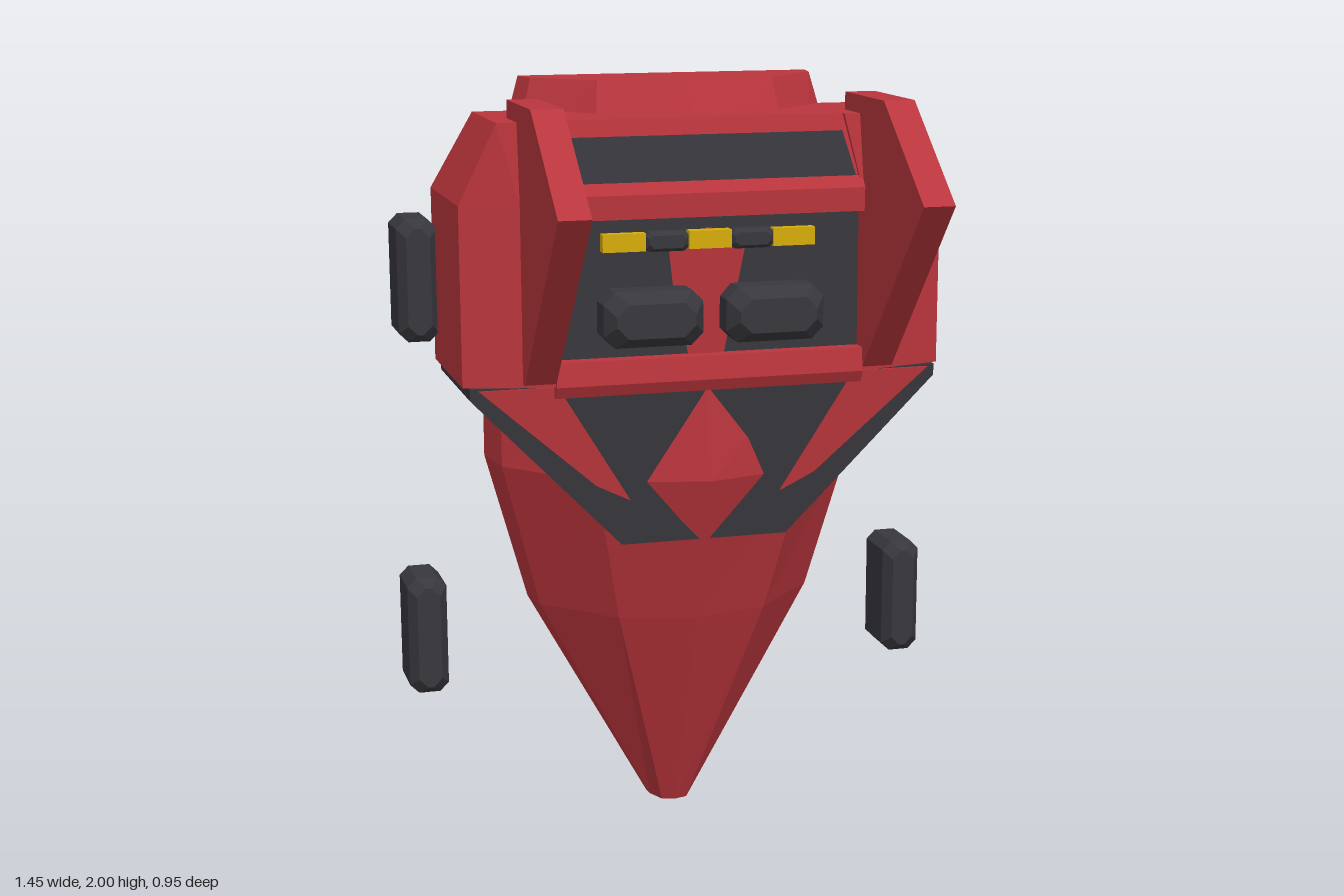
import * as THREE from 'three';

const mat = (name, color, extra = {}) =>
  Object.assign(new THREE.MeshStandardMaterial({ color, flatShading: true, ...extra }), { name });

// Closed solid through rings of equal point count, wound outward by its signed volume
function loft(rings) {
  const tris = [];
  const n = rings[0].length;
  for (let r = 0; r + 1 < rings.length; r++) {
    for (let i = 0; i < n; i++) {
      const j = (i + 1) % n;
      const [a, b, c, d] = [rings[r][i], rings[r][j], rings[r + 1][j], rings[r + 1][i]];
      tris.push([a, b, c], [a, c, d]);
    }
  }
  const last = rings[rings.length - 1];
  for (let i = 1; i + 1 < n; i++) {
    tris.push([rings[0][0], rings[0][i + 1], rings[0][i]], [last[0], last[i], last[i + 1]]);
  }
  let volume = 0;
  for (const [a, b, c] of tris) {
    volume += a[0] * (b[1] * c[2] - b[2] * c[1]) + a[1] * (b[2] * c[0] - b[0] * c[2]) + a[2] * (b[0] * c[1] - b[1] * c[0]);
  }
  if (volume < 0) tris.forEach((t) => t.reverse());
  const g = new THREE.BufferGeometry();
  g.setAttribute('position', new THREE.Float32BufferAttribute(tris.flat(2), 3));
  g.computeVertexNormals();
  return g;
}

// Side profile of [z, y] points swept from x0 to x1
const sweepX = (profile, x0, x1) => loft([x0, x1].map((x) => profile.map(([z, y]) => [x, y, z])));

// Octagonal block running along z, with its front edge bevelled
function bevelBlock(x0, x1, y0, y1, back, front, c) {
  const ring = (inset, z) => {
    const [l, r, b, t] = [x0 + inset, x1 - inset, y0 + inset, y1 - inset];
    return [[l + c, b, z], [r - c, b, z], [r, b + c, z], [r, t - c, z],
      [r - c, t, z], [l + c, t, z], [l, t - c, z], [l, b + c, z]];
  };
  return loft([ring(0, back), ring(0, front - c * 1.2), ring(c * 0.9, front)]);
}

// Flat polygon of [x, y] points, from z0 to z1, leaning forward with height
function leaningPlate(points, z0, z1, leanBack = true) {
  const g = new THREE.ExtrudeGeometry(new THREE.Shape(points.map((p) => new THREE.Vector2(...p))),
    { depth: z1 - z0, bevelEnabled: false });
  g.translate(0, 0, z0);
  const p = g.attributes.position;
  for (let i = 0; i < p.count; i++) {
    if (leanBack || p.getZ(i) > z0 + 0.001) p.setZ(i, p.getZ(i) + (p.getY(i) - 0.835) * 0.08);
  }
  g.computeVertexNormals();
  return g;
}

export function createModel() {
  const model = new THREE.Group();
  model.name = 'armourShell';
  const red = mat('red', 0xb9353c);
  const dark = mat('charcoal', 0x37373d);
  const yellow = mat('yellow', 0xd6ac0c);
  const add = (name, geometry, material) => {
    const m = new THREE.Mesh(geometry, material);
    m.name = name;
    model.add(m);
  };

  // Tapered hull: y, half width, side z, shoulder x, shoulder z, front z
  const hull = [
    [0, 0.06, -0.36, 0.035, -0.31, -0.3],
    [0.6, 0.39, -0.3, 0.2, -0.12, -0.07],
    [1.0, 0.5, -0.25, 0.28, -0.02, 0.055],
    [1.25, 0.5, -0.25, 0.28, -0.03, 0.032],
    [1.6, 0.5, -0.25, 0.28, -0.02, 0.05],
    [2.0, 0.39, -0.31, 0.23, -0.18, -0.158],
  ].map(([y, w, sz, mx, mz, fz]) => [
    [-w, y, -0.392], [-w * 0.96, y, sz], [-mx, y, mz], [0, y, fz],
    [mx, y, mz], [w * 0.96, y, sz], [w, y, -0.392]]);
  add('hull', loft(hull), red);

  // Head core with a recessed face and sloping brow
  add('headCore', sweepX([[-0.387, 1.26], [0.02, 1.26], [0.02, 1.69], [0.045, 1.77],
    [0.005, 1.92], [-0.29, 1.92], [-0.387, 1.72]], -0.42, 0.42), red);
  add('facePanel', new THREE.BoxGeometry(0.8, 0.37, 0.008).translate(0, 1.505, 0.021), dark);
  const visor = (y, w, z) => [[-w, y, z - 0.006], [w, y, z - 0.006], [w, y, z + 0.004], [-w, y, z + 0.004]];
  add('visor', loft([visor(1.76, 0.385, 0.048), visor(1.878, 0.355, 0.0165)]), dark);
  add('browBar', sweepX([[0, 1.68], [0.07, 1.68], [0.072, 1.74], [0.05, 1.768], [0, 1.768]], -0.4, 0.4), red);
  add('chinBar', sweepX([[0, 1.24], [0.06, 1.24], [0.075, 1.27], [0.065, 1.33], [0, 1.33]], -0.4, 0.4), red);

  // Jaw and the red cheeks laid on it
  add('jaw', leaningPlate([[-0.61, 1.27], [-0.61, 1.24], [-0.22, 0.835], [0.22, 0.835],
    [0.61, 1.24], [0.61, 1.27]], -0.388, 0, false), dark);

  for (const s of [-1, 1]) {
    const side = s > 0 ? 'left' : 'right';
    const span = (a, b) => (s > 0 ? [a, b] : [-b, -a]);

    // Faceted head side
    const lower = [[0.4, -0.387], [0.4, 0.065], [0.48, 0.05], [0.625, 0.012], [0.625, -0.387]];
    const upper = [[0.36, -0.29], [0.36, 0.02], [0.45, 0.03], [0.53, 0.03], [0.53, -0.29]];
    const at = (pts, y) => pts.map(([x, z]) => [s * x, y, z]);
    add(side + 'HeadSide', loft([at(lower, 1.27), at(lower, 1.72), at(upper, 1.92)]), red);

    // Pointed fin
    add(side + 'Fin', sweepX([[-0.09, 1.965], [0.195, 1.965], [0.48, 1.74], [0.07, 1.28],
      [0, 1.28], [-0.09, 1.6]], s * 0.4, s * 0.48), red);

    // Cheek
    add(side + 'Cheek', leaningPlate([[0.59, 1.265], [0.39, 1.265], [0.2, 0.955], [0.29, 1.0]]
      .map(([x, y]) => [s * x, y]), 0.001, 0.008), red);

    // Face pods
    add(side + 'FacePod', bevelBlock(...span(0.03, 0.285), 1.365, 1.505, 0.015, 0.13, 0.03), dark);

    // Lamps and the spacers between them
    add(side + 'Lamp', new THREE.BoxGeometry(0.11, 0.045, 0.035).translate(s * 0.22, 1.62, 0.035), yellow);
    add(side + 'LampSpacer', bevelBlock(...span(0.055, 0.165), 1.595, 1.645, 0.015, 0.062, 0.01), dark);

    // Outer pads
    for (const [level, y] of [['Upper', 1.325], ['Lower', 0.365]]) {
      add(side + level + 'Pad', bevelBlock(...span(0.62, 0.725), y, y + 0.32, -0.475, -0.315, 0.024), dark);
    }
  }
  add('centreLamp', new THREE.BoxGeometry(0.11, 0.045, 0.045).translate(0, 1.622, 0.036), yellow);

  return model;
}
